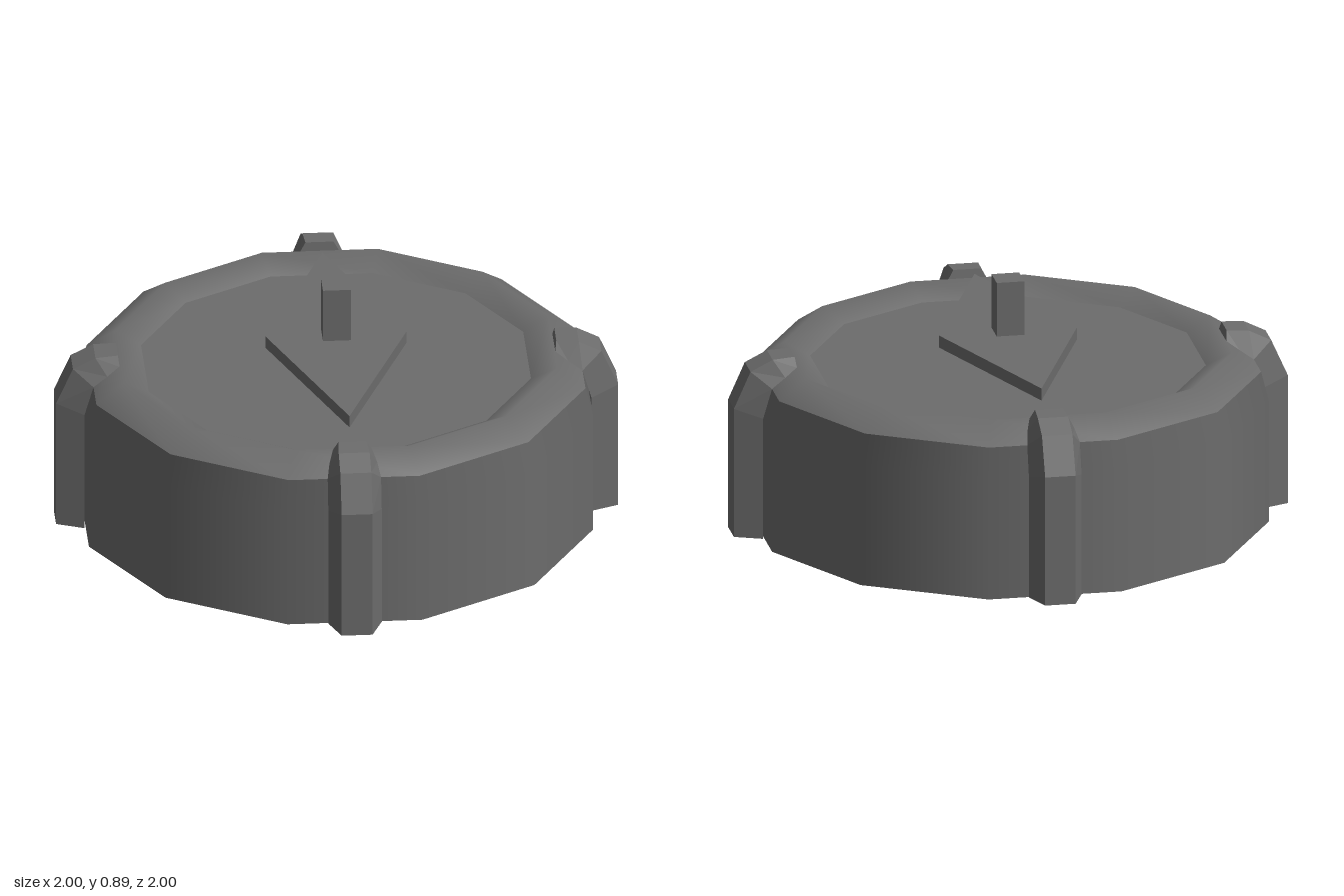
import * as THREE from 'three';

const SIDES = 12;
const CIRCUM = 1 / Math.cos(Math.PI / SIDES); // flat-to-flat radius -> corner radius

function material(flat) {
  return new THREE.MeshStandardMaterial({ color: 0x6c6c6c, flatShading: flat });
}

function part(name, geometry, flat = true) {
  const mesh = new THREE.Mesh(geometry, material(flat));
  mesh.name = name;
  return mesh;
}

// Twelve-sided turned surface with flats facing the axes
function turned(profile) {
  const points = profile.map(([r, y]) => new THREE.Vector2(r * CIRCUM, y));
  return new THREE.LatheGeometry(points, SIDES, Math.PI / SIDES);
}

// Straight wall whose top ring is drawn in, keeping the level normals
function wallGeometry() {
  const geometry = turned([[0.897, 0], [0.897, 0.45], [0.897, 0.56]]);
  const pos = geometry.attributes.position;
  const pull = 0.87 / 0.897;
  for (let i = 0; i < pos.count; i++) {
    if (pos.getY(i) > 0.5) pos.setXYZ(i, pos.getX(i) * pull, pos.getY(i), pos.getZ(i) * pull);
  }
  return geometry;
}

// Tapered rib: a four-cornered section swept up the wall and over the rim
function ribGeometry() {
  // inner radius, inner y, inner half width, outer radius, outer y, outer half width
  const sections = [
    [0.902, 0, 0.095, 1, 0, 0.055],
    [0.902, 0.45, 0.095, 1, 0.48, 0.055],
    [0.87, 0.56, 0.095, 0.94, 0.615, 0.055],
    [0.82, 0.595, 0.085, 0.86, 0.655, 0.055],
    [0.775, 0.625, 0.07, 0.78, 0.66, 0.05],
  ];
  const positions = [];
  const index = [];
  for (const [ri, yi, wi, ro, yo, wo] of sections) {
    positions.push(-wi, yi, ri, -wo, yo, ro, wo, yo, ro, wi, yi, ri);
  }
  for (let i = 0; i < sections.length - 1; i++) {
    for (let j = 0; j < 4; j++) {
      const a = i * 4 + j;
      const b = i * 4 + ((j + 1) % 4);
      index.push(a, b, b + 4, a, b + 4, a + 4);
    }
  }
  const e = (sections.length - 1) * 4;
  index.push(0, 2, 1, 0, 3, 2, e, e + 1, e + 2, e, e + 2, e + 3);
  const geometry = new THREE.BufferGeometry();
  geometry.setAttribute('position', new THREE.Float32BufferAttribute(positions, 3));
  geometry.setIndex(index);
  geometry.computeVertexNormals();
  return geometry;
}

export function createModel() {
  const model = new THREE.Group();
  model.name = 'compass';

  // Case: base, smooth wall, raised rim and recessed dial
  const body = new THREE.Group();
  body.name = 'case';
  body.add(
    part('base', turned([[0, 0], [0.897, 0]])),
    part('wall', wallGeometry(), false),
    part('rim', turned([[0.87, 0.56], [0.77, 0.63], [0.68, 0.58]]), false),
    part('dial', turned([[0.68, 0.58], [0, 0.58]])),
  );
  model.add(body);

  // Four ribs clasping the case
  const rib = ribGeometry();
  for (let i = 0; i < 4; i++) {
    const mesh = part('rib', rib);
    mesh.rotation.y = (i * Math.PI) / 2;
    model.add(mesh);
  }

  // Diamond needle
  const needle = part('needle', new THREE.CylinderGeometry(1, 1, 0.045, 4).scale(0.25, 1, 0.64));
  needle.position.y = 0.667;
  model.add(needle);

  // Square pin through the needle
  const pin = part('pin', new THREE.BoxGeometry(0.1, 0.31, 0.1));
  pin.position.y = 0.735;
  model.add(pin);

  return model;
}
